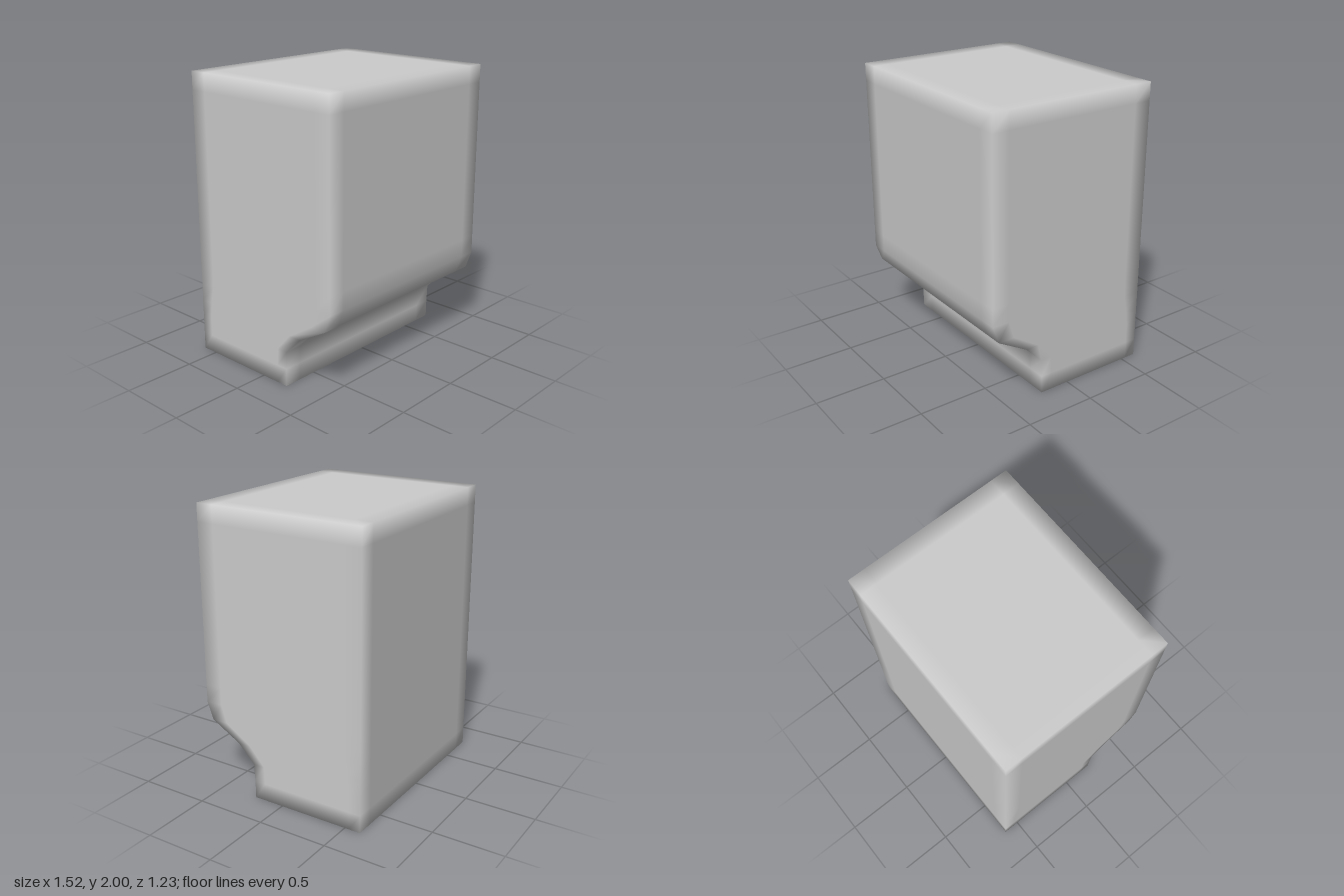
import * as THREE from 'three';
import { mergeVertices } from 'three/addons/utils/BufferGeometryUtils.js';

const WIDTH = 1.52, HEIGHT = 2, DEPTH = 1.23, BACK = -DEPTH / 2;

// Depth of the front face for each row of the grid, from the floor up
const FRONT = [0.22, 0.222, 0.228, 0.35, 0.57];
const ROWS = 16;

export function createModel() {
  const group = new THREE.Group();

  // Gridded block whose lower front is pulled back into a recessed foot
  let body = new THREE.BoxGeometry(WIDTH, HEIGHT, DEPTH, 12, ROWS, 10);
  body.translate(0, HEIGHT / 2, 0);
  const pos = body.attributes.position;
  for (let i = 0; i < pos.count; i++) {
    const row = Math.round((pos.getY(i) / HEIGHT) * ROWS);
    const front = FRONT[row] ?? DEPTH / 2;
    const t = (pos.getZ(i) - BACK) / DEPTH;
    pos.setZ(i, BACK + t * (front - BACK));
  }

  // Shared corners give the softly shaded edges
  body.deleteAttribute('normal');
  body.deleteAttribute('uv');
  body = mergeVertices(body, 1e-4);
  body.computeVertexNormals();

  const mesh = new THREE.Mesh(body, new THREE.MeshStandardMaterial({ color: 0xcccccc }));
  mesh.name = 'cabinetBody';
  group.add(mesh);
  return group;
}
